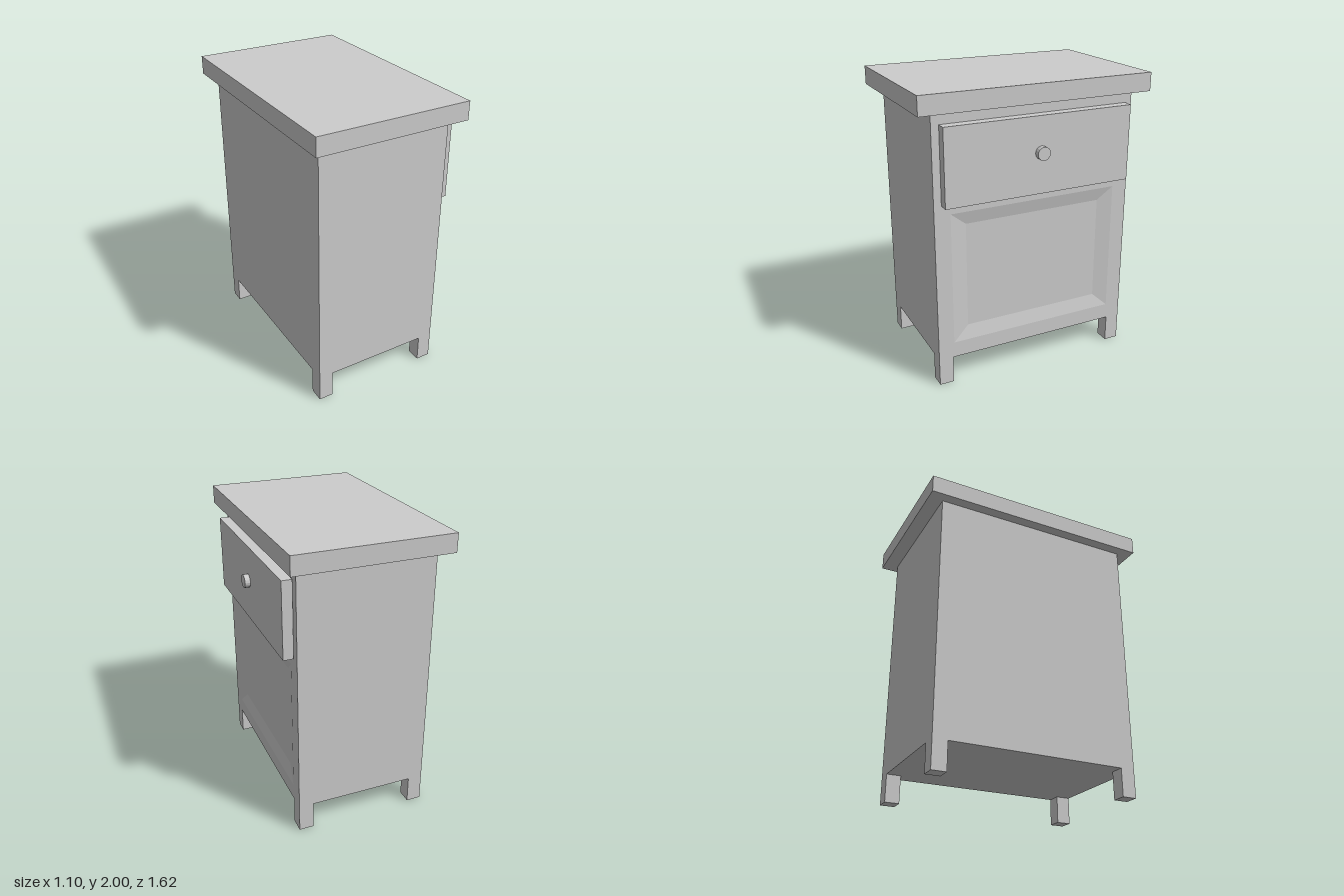
import * as THREE from 'three';

const material = new THREE.MeshStandardMaterial({ color: 0xcccccc, flatShading: true });

function add(group, name, geometry) {
  const mesh = new THREE.Mesh(geometry, material);
  mesh.name = name;
  group.add(mesh);
  return mesh;
}

// Box given by its lower and upper limits
function box(group, name, [x0, y0, z0], [x1, y1, z1]) {
  const mesh = add(group, name, new THREE.BoxGeometry(x1 - x0, y1 - y0, z1 - z0));
  mesh.position.set((x0 + x1) / 2, (y0 + y1) / 2, (z0 + z1) / 2);
  return mesh;
}

// Closed solid through rectangular sections along x: [x, halfDepth, yBottom, yTop]
function sectionSolid(sections) {
  const positions = [], index = [];
  for (const [x, z, y0, y1] of sections) {
    positions.push(x, y0, -z, x, y1, -z, x, y1, z, x, y0, z);
  }
  for (let s = 0; s < sections.length - 1; s++) {
    for (let i = 0; i < 4; i++) {
      const a = s * 4 + i, b = s * 4 + (i + 1) % 4;
      index.push(a, b, b + 4, a, b + 4, a + 4);
    }
  }
  const e = (sections.length - 1) * 4;
  index.push(0, 2, 1, 0, 3, 2, e, e + 1, e + 2, e, e + 2, e + 3);
  const indexed = new THREE.BufferGeometry();
  indexed.setAttribute('position', new THREE.Float32BufferAttribute(positions, 3));
  indexed.setIndex(index);
  const geometry = indexed.toNonIndexed();
  geometry.computeVertexNormals();
  return geometry;
}

export function createModel() {
  const group = new THREE.Group();
  group.name = 'nightstand';

  // Cabinet with a shallow bevelled recess in its drawer side
  add(group, 'cabinet', sectionSolid([
    [-0.48, 0.71, 0.19, 1.875],
    [0.44, 0.71, 0.19, 1.875],
    [0.44, 0.6, 0.3, 1.22],
    [0.42, 0.49, 0.4, 1.13],
  ]));

  // Overhanging top
  box(group, 'top', [-0.55, 1.875, -0.81], [0.508, 2, 0.81]);

  // Four square legs
  for (const x of [-0.48, 0.34]) {
    for (const z of [-0.71, 0.61]) {
      box(group, 'leg', [x, 0, z], [x + 0.1, 0.19, z + 0.1]);
    }
  }

  // Drawer front, standing just off the cabinet on a backing
  box(group, 'drawerBacking', [0.43, 1.33, -0.6], [0.446, 1.75, 0.6]);
  box(group, 'drawerFront', [0.443, 1.285, -0.66], [0.511, 1.8, 0.66]);

  // Round knob
  const knob = add(group, 'knob', new THREE.CylinderGeometry(0.045, 0.045, 0.045, 16));
  knob.rotation.z = -Math.PI / 2;
  knob.position.set(0.5245, 1.56, 0);

  return group;
}
